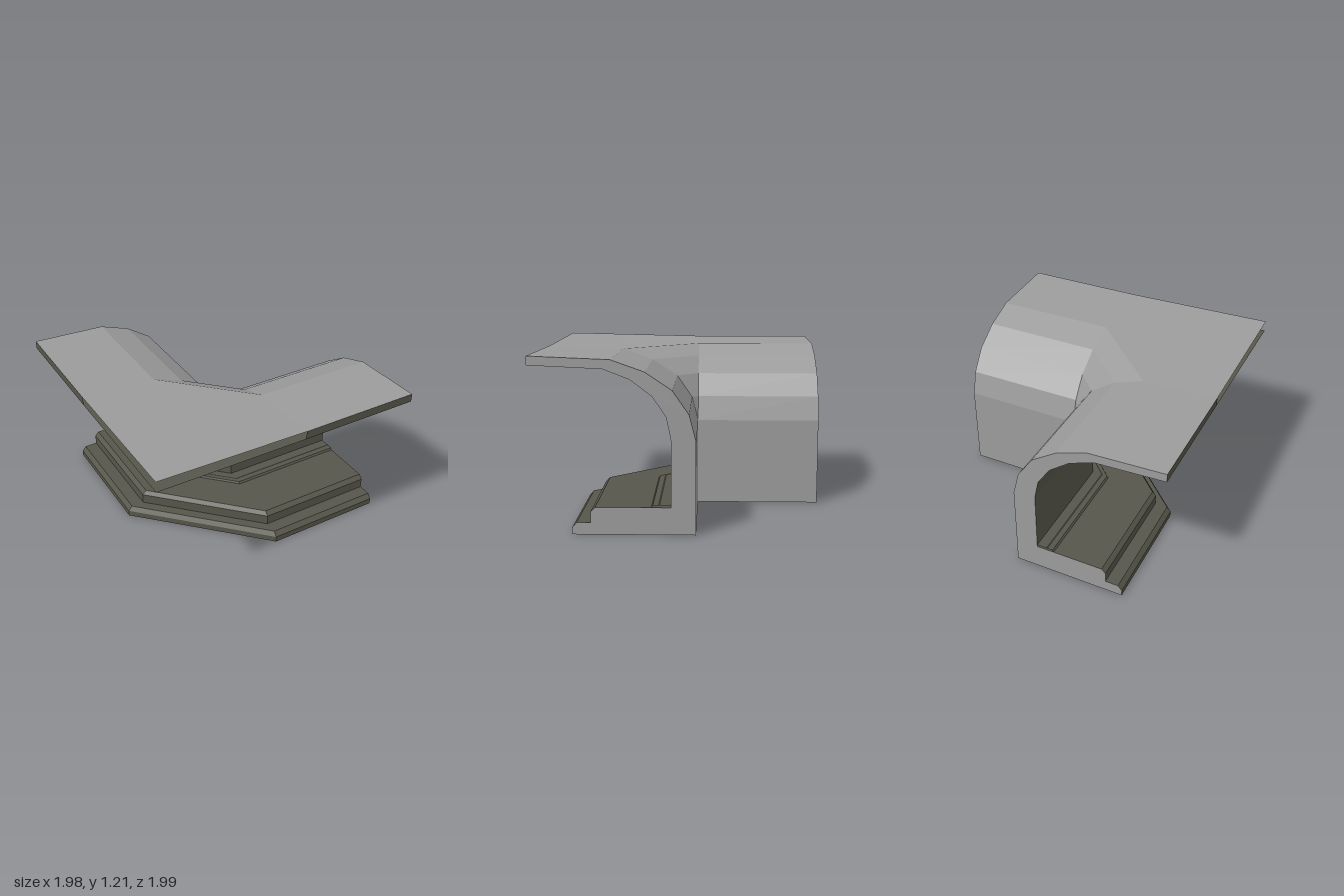
import * as THREE from 'three';

const S = 0.105;                  // where each wing starts, beside the inner corner
const END_X = 0.985, END_Z = 1;   // outer ends of the two wings

// Cross-section as [distance from wall line, height]
const base = [[0.715, 0], [0.715, 0.045], [0.685, 0.08], [0.59, 0.08], [0.59, 0.155], [0.56, 0.185], [0.06, 0.185]];
const inner = [[0.06, 0.185], [0.06, 0.64], [0.09, 0.785], [0.18, 0.92], [0.325, 1.03], [0.5, 1.097]];
const outer = [[0.45, 1.158], [0.23, 1.08], [0.05, 0.96], [-0.06, 0.8], [-0.105, 0.625], [-0.105, 0]];
const tipLow = [0.99, 1.12], tipHigh = [0.99, 1.18];

// Four stations: end of back wing, both sides of the corner, end of side wing
const stations = [
  ([d, y]) => [-d, y, -END_Z],
  ([d, y]) => [-d, y, -S],
  ([d, y]) => [S, y, d],
  ([d, y]) => [END_X, y, d],
];

function geometry(triangles) {
  const g = new THREE.BufferGeometry();
  g.setAttribute('position', new THREE.Float32BufferAttribute(triangles.flat(2), 3));
  g.computeVertexNormals();
  return g;
}

// Sweep a profile through the chosen spans (0 back wing, 1 corner, 2 side wing)
function sweep(profile, spans = [0, 1, 2]) {
  const tris = [];
  for (const s of spans) {
    for (let i = 0; i < profile.length - 1; i++) {
      const a = stations[s](profile[i]), b = stations[s + 1](profile[i]);
      const c = stations[s + 1](profile[i + 1]), d = stations[s](profile[i + 1]);
      tris.push([a, b, c], [a, c, d]);
    }
  }
  return geometry(tris);
}

// Flat corner of the roof, fanned from its outer tip
function roofCorner(near, tip, cornerY, up) {
  const c = [-tip[0], cornerY, tip[0]];
  const rim = [stations[1](tip), stations[1](near), stations[2](near), stations[2](tip)];
  const tris = [];
  for (let i = 0; i < 3; i++) tris.push(up ? [c, rim[i + 1], rim[i]] : [c, rim[i], rim[i + 1]]);
  return geometry(tris);
}

function endCap(sign) {
  const loop = [...base, ...inner.slice(1), tipLow, tipHigh, ...outer];
  const shape = new THREE.Shape(loop.map(([d, y]) => new THREE.Vector2(sign * d, y)));
  return new THREE.ShapeGeometry(shape);
}

export function createModel() {
  const group = new THREE.Group();
  const mat = (name, color, side = THREE.FrontSide) => {
    const m = new THREE.MeshStandardMaterial({ color, side, flatShading: true });
    m.name = name;
    return m;
  };
  const grey = mat('shellGrey', 0x9c9c9c, THREE.DoubleSide);
  const olive = mat('darkOlive', 0x56564b, THREE.DoubleSide);
  const dark = mat('grooveDark', 0x33332c);
  const add = (name, geo, material) => {
    const mesh = new THREE.Mesh(geo, material);
    mesh.name = name;
    group.add(mesh);
    return mesh;
  };

  // Stepped base and floor
  add('steppedBase', sweep(base), olive);
  add('underside', sweep([[-0.105, 0], [0.715, 0]]), grey);

  // Raised kerb along the wall with a dark groove
  add('wallKerb', sweep([[0.19, 0.185], [0.18, 0.2], [0.06, 0.2]]), olive);
  add('kerbGroove', sweep([[0.145, 0.202], [0.13, 0.202]]), dark);

  // Inner wall curving into the ceiling
  add('innerWall', sweep(inner), olive);
  add('wingCeilings', sweep([inner[5], tipLow], [0, 2]), olive);
  add('cornerCeiling', roofCorner(inner[5], tipLow, 1.125, false), olive);

  // Outer shell
  add('outerShell', sweep(outer), grey);
  add('wingRoofs', sweep([tipHigh, outer[0]], [0, 2]), grey);
  add('cornerRoof', roofCorner(outer[0], tipHigh, 1.205, true), grey);
  add('roofFascia', sweep([tipLow, tipHigh], [0, 2]), olive);

  // Cut faces closing both wings
  const sideCap = add('sideWingEnd', endCap(-1), grey);
  sideCap.rotation.y = Math.PI / 2;
  sideCap.position.x = END_X;
  const backCap = add('backWingEnd', endCap(1), grey);
  backCap.rotation.y = Math.PI;
  backCap.position.z = -END_Z;

  return group;
}
